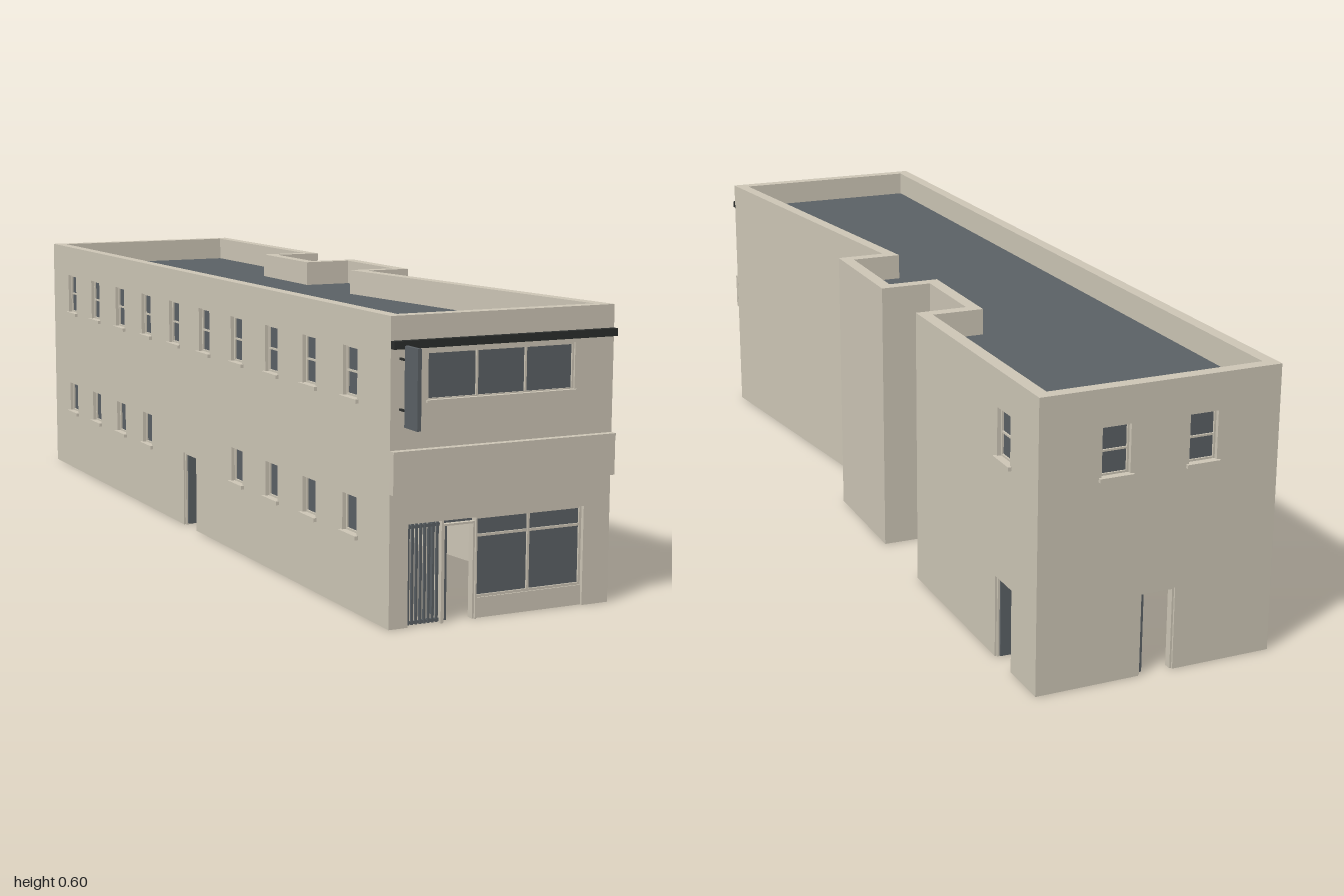
import * as THREE from 'three';

const cream = new THREE.MeshStandardMaterial({ color: 0xcdc6b6 });
cream.name = 'cream render';
const slate = new THREE.MeshStandardMaterial({ color: 0x5b6165 });
slate.name = 'slate grey';
const black = new THREE.MeshStandardMaterial({ color: 0x2b2d2c });
black.name = 'black trim';

const T = 0.027, H = 0.595, ROOF = 0.54;

// box given by its min and max corners
function box(parent, name, mat, x0, x1, y0, y1, z0, z1) {
  const m = new THREE.Mesh(new THREE.BoxGeometry(x1 - x0, y1 - y0, z1 - z0), mat);
  m.position.set((x0 + x1) / 2, (y0 + y1) / 2, (z0 + z1) / 2);
  m.name = name;
  parent.add(m);
  return m;
}

// frame with panes: xs and ys are the centre lines of the bars
function glazing(g, name, xs, ys, z, bar = 0.004) {
  const x0 = xs[0], x1 = xs.at(-1), y0 = ys[0], y1 = ys.at(-1);
  box(g, name + 'Glass', slate, x0, x1, y0, y1, z - 0.004, z);
  const fit = (v, a, b) => Math.min(Math.max(v, a + bar / 2), b - bar / 2);
  for (const v of xs) {
    const x = fit(v, x0, x1);
    box(g, name + 'Bar', cream, x - bar / 2, x + bar / 2, y0, y1, z - 0.006, z + 0.004);
  }
  for (const v of ys) {
    const y = fit(v, y0, y1);
    box(g, name + 'Rail', cream, x0, x1, y - bar / 2, y + bar / 2, z - 0.006, z + 0.0035);
  }
}

// door leaf standing open inwards, hinged on the left jamb
function openDoor(g, u0, u1, top) {
  box(g, 'doorLeaf', slate, u0 + 0.005, u0 + 0.011, 0.003, top - 0.003, -0.008 - (u1 - u0 - 0.012), -0.008);
  box(g, 'doorJamb', cream, u0, u0 + 0.004, 0, top, -0.02, -0.004);
  box(g, 'doorJamb', cream, u1 - 0.004, u1, 0, top, -0.02, -0.004);
  box(g, 'doorHead', cream, u0, u1, top - 0.004, top, -0.02, -0.004);
}

function sashWindow(g, u, y0, y1, split) {
  const w = 0.03, ym = (y0 + y1) / 2;
  glazing(g, 'window', [u - w, u + w], split ? [y0, ym, y1] : [y0, y1], -0.012);
  box(g, 'windowSill', cream, u - w - 0.006, u + w + 0.006, y0 - 0.008, y0, -0.012, 0.007);
}

// footprint corners (x, z), each wall running left to right as seen from outside
const plan = [
  [-0.23, 0.925], [0.26, 0.925], [0.15, 0.087], [0.256, 0.087], [0.256, -0.197],
  [0.145, -0.197], [0.145, -0.4], [0.257, -0.4], [0.252, -0.996], [-0.258, -0.986],
].map(([x, z]) => new THREE.Vector2(x, z));
const N = plan.length;
const dirs = plan.map((p, i) => plan[(i + 1) % N].clone().sub(p).normalize());
// mitre shift of the inner face at each corner
const mitre = plan.map((_, i) => {
  const a = dirs[(i + N - 1) % N], b = dirs[i];
  return T * Math.tan(Math.atan2(-a.cross(b), a.dot(b)) / 2);
});

// wall panel with door notches [u0, u1, top] and window holes [u0, u1, y0, y1]
function wall(root, i, name, doors = [], holes = []) {
  const L = plan[i].distanceTo(plan[(i + 1) % N]), d = dirs[i];
  const s = new THREE.Shape();
  s.moveTo(0, 0);
  for (const [a, b, top] of doors) s.lineTo(a, 0).lineTo(a, top).lineTo(b, top).lineTo(b, 0);
  s.lineTo(L, 0).lineTo(L, H).lineTo(0, H);
  for (const [a, b, c, e] of holes) {
    s.holes.push(new THREE.Path().moveTo(a, c).lineTo(a, e).lineTo(b, e).lineTo(b, c));
  }
  const geo = new THREE.ExtrudeGeometry(s, { depth: T, bevelEnabled: false }).translate(0, 0, -T);
  const p = geo.attributes.position;
  for (let k = 0; k < p.count; k++) {
    if (p.getZ(k) > -T / 2) continue;
    if (p.getX(k) < 1e-5) p.setX(k, mitre[i]);
    else if (p.getX(k) > L - 1e-5) p.setX(k, L - mitre[(i + 1) % N]);
  }
  geo.computeVertexNormals();
  const g = new THREE.Group();
  g.name = name;
  const m = new THREE.Mesh(geo, cream);
  m.name = name + 'Panel';
  g.add(m);
  g.applyMatrix4(new THREE.Matrix4().makeBasis(
    new THREE.Vector3(d.x, 0, d.y), new THREE.Vector3(0, 1, 0), new THREE.Vector3(-d.y, 0, d.x),
  ).setPosition(plan[i].x, 0, plan[i].y));
  root.add(g);
  return g;
}

// plain wall with simple doors [u0, u1] and sash windows [u, y0, y1, split]
function sideWall(root, i, name, doors = [], windows = []) {
  const top = 0.172;
  const g = wall(root, i, name, doors.map(([a, b]) => [a, b, top]),
    windows.map(([u, a, b]) => [u - 0.03, u + 0.03, a, b]));
  doors.forEach(([a, b]) => openDoor(g, a, b, top));
  windows.forEach((w) => sashWindow(g, ...w));
}

function shopFront(root) {
  const g = wall(root, 0, 'frontWall',
    [[0.04, 0.112, 0.2], [0.117, 0.187, 0.2], [0.19, 0.43, 0.2]],
    [[0.078, 0.402, 0.432, 0.525]]);

  // security grille
  for (let k = 0; k < 8; k++) {
    const u = 0.045 + k * 0.0089;
    box(g, 'grilleBar', slate, u - 0.0022, u + 0.0022, 0.002, 0.198, -0.012, -0.007);
  }
  for (const y of [0.006, 0.192]) box(g, 'grilleRail', slate, 0.04, 0.112, y - 0.003, y + 0.003, -0.013, -0.008);

  // entrance with transom light
  openDoor(g, 0.117, 0.187, 0.192);
  box(g, 'transomGlass', slate, 0.12, 0.184, 0.193, 0.2, -0.014, -0.01);

  // display window over its stall riser
  box(g, 'stallRiser', cream, 0.19, 0.43, 0, 0.04, -0.02, -0.006);
  glazing(g, 'shopWindow', [0.19, 0.309, 0.43], [0.04, 0.162, 0.2], -0.012, 0.005);

  // upper window, fascia band, gutter strip and hanging sign
  glazing(g, 'upperWindow', [0.078, 0.187, 0.294, 0.402], [0.432, 0.525], -0.008);
  box(g, 'upperSill', cream, 0.075, 0.406, 0.429, 0.434, -0.01, 0.006);
  box(g, 'fasciaBand', cream, 0, 0.49, 0.26, 0.34, -0.002, 0.014);
  box(g, 'fasciaCap', cream, 0, 0.49, 0.338, 0.343, -0.002, 0.016);
  box(g, 'gutterStrip', black, 0, 0.49, 0.534, 0.549, -0.001, 0.014);
  box(g, 'hangingSign', slate, 0.016, 0.024, 0.39, 0.542, 0.025, 0.075);
  for (const y of [0.42, 0.515]) box(g, 'signBracket', black, 0.018, 0.022, y - 0.002, y + 0.002, -0.002, 0.027);
}

export function createModel() {
  const root = new THREE.Group();
  root.name = 'shopBuilding';
  const UP = [0.422, 0.52], LOW = [0.155, 0.23];

  shopFront(root);
  sideWall(root, 1, 'slantedWall');
  sideWall(root, 2, 'bayFrontWall');
  sideWall(root, 3, 'baySideWall');
  sideWall(root, 4, 'bayBackWall');
  sideWall(root, 5, 'notchWall', [[0.063, 0.137]]);
  sideWall(root, 6, 'rearBlockFrontWall');
  sideWall(root, 7, 'rearBlockSideWall', [[0.408, 0.484]], [[0.443, ...UP, true]]);
  sideWall(root, 8, 'backWall', [[0.22, 0.295]], [[0.16, ...UP, true], [0.345, ...UP, true]]);

  // long side: ten upper windows, eight lower ones around a door
  const row = [];
  for (let k = 0; k < 10; k++) {
    const u = 0.147 + k * 0.178;
    row.push([u, ...UP, true]);
    if (k < 4 || k > 5) row.push([u, ...LOW, false]);
  }
  sideWall(root, 9, 'longSideWall', [[0.91, 0.985]], row);

  // flat roof inside the parapet
  const inner = plan.map((p, i) => {
    const d = dirs[i];
    return new THREE.Vector2(p.x + d.x * mitre[i] + d.y * T, -(p.y + d.y * mitre[i] - d.x * T));
  });
  const roofGeo = new THREE.ExtrudeGeometry(new THREE.Shape(inner), { depth: 0.01, bevelEnabled: false });
  const roof = new THREE.Mesh(roofGeo.rotateX(-Math.PI / 2).translate(0, ROOF - 0.01, 0), slate);
  roof.name = 'flatRoof';
  root.add(roof);
  return root;
}
